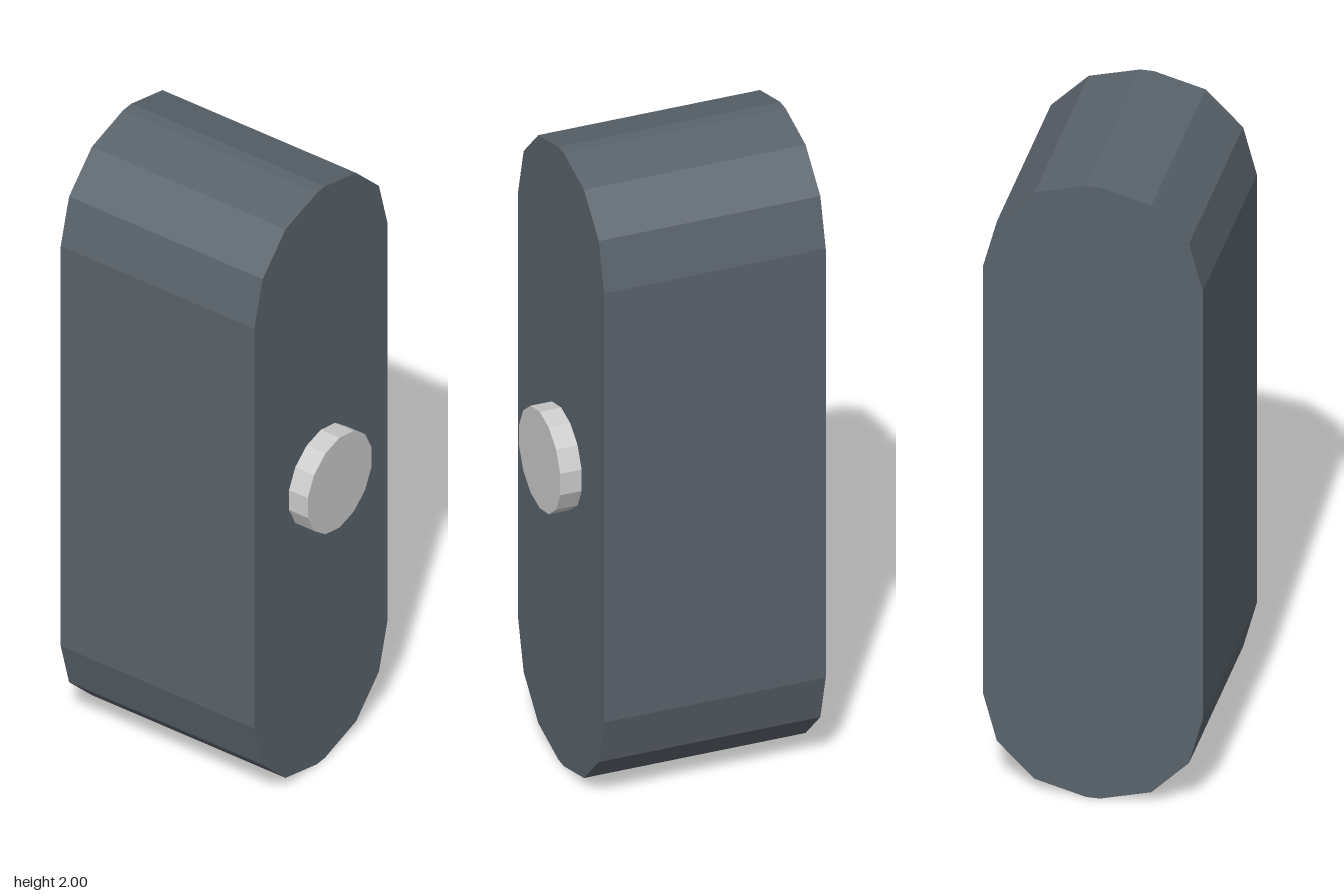
import * as THREE from 'three';

export function createModel() {
  const model = new THREE.Group();
  const back = -0.373, face = 0.307, front = 0.373;

  // Body: upright slab with faceted round ends, three facets per corner
  const r = 0.3, halfX = 0.02, halfY = 0.7;
  const corners = [[1, 1, 0], [-1, 1, 1], [-1, -1, 2], [1, -1, 3]];
  const outline = [];
  for (const [sx, sy, quarter] of corners) {
    for (let i = 0; i <= 3; i++) {
      const a = (quarter + i / 3) * Math.PI / 2;
      outline.push(new THREE.Vector2(sx * halfX + r * Math.cos(a), 1 + sy * halfY + r * Math.sin(a)));
    }
  }
  const bodyGeometry = new THREE.ExtrudeGeometry(new THREE.Shape(outline), {
    depth: face - back, bevelEnabled: false,
  });
  const body = new THREE.Mesh(bodyGeometry,
    new THREE.MeshStandardMaterial({ color: 0x5a636b, flatShading: true }));
  body.name = 'body';
  body.position.z = back;
  model.add(body);

  // Button: fourteen-sided disc on the front face, a corner pointing up
  const buttonGeometry = new THREE.CylinderGeometry(0.157, 0.157, front - face, 14);
  buttonGeometry.rotateX(Math.PI / 2);
  const button = new THREE.Mesh(buttonGeometry,
    new THREE.MeshStandardMaterial({ color: 0xcccccc, flatShading: true }));
  button.name = 'button';
  button.position.set(0, 1.003, (face + front) / 2);
  model.add(button);

  return model;
}
